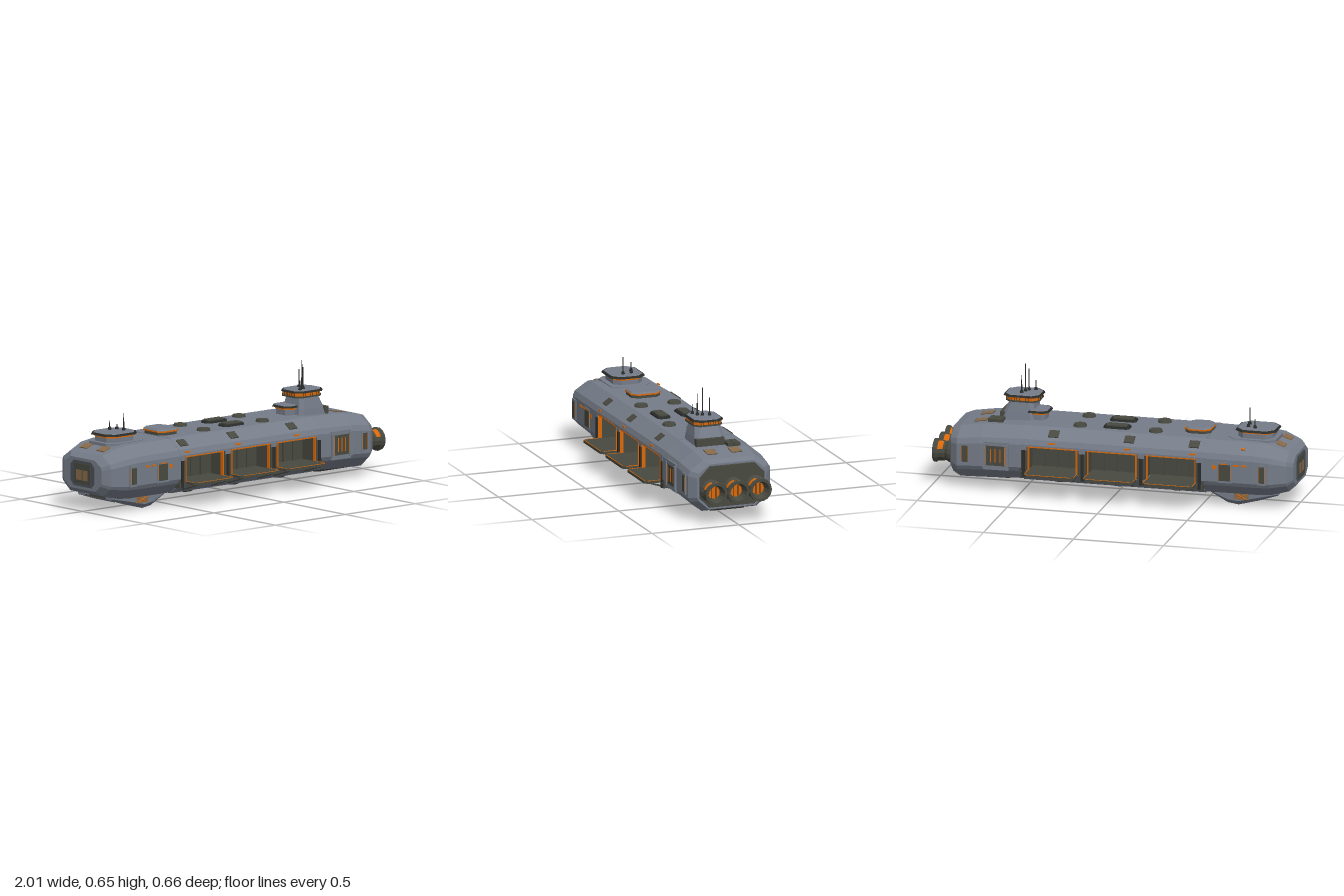
import * as THREE from 'three';

const mat = (name, color, side = THREE.FrontSide) => {
  const m = new THREE.MeshStandardMaterial({ color, flatShading: true, side });
  m.name = name;
  return m;
};

export function createModel() {
  const root = new THREE.Group();
  root.name = 'transportShip';
  const hull = mat('hullGrey', 0x757c88), steel = mat('darkSteel', 0x4c5057), olive = mat('oliveMetal', 0x484940);
  const black = mat('blackMetal', 0x2b2d2b), orange = mat('orange', 0xd9690a), tan = mat('tan', 0x876a49);
  const bell = mat('engineMetal', 0x484940, THREE.DoubleSide);

  const add = (name, geo, m) => {
    const mesh = new THREE.Mesh(geo, m);
    mesh.name = name;
    root.add(mesh);
    return mesh;
  };
  const box = (name, m, x0, x1, y0, y1, z0, z1) => {
    const b = add(name, new THREE.BoxGeometry(x1 - x0, y1 - y0, z1 - z0), m);
    b.position.set((x0 + x1) / 2, (y0 + y1) / 2, (z0 + z1) / 2);
    return b;
  };
  // the same box on both flanks, z measured outward
  const flank = (name, m, x0, x1, y0, y1, z0, z1) => {
    box(name, m, x0, x1, y0, y1, z0, z1);
    box(name, m, x0, x1, y0, y1, -z1, -z0);
  };
  // skin over convex rings [position, points] along the x or y axis, with end caps
  const loft = (name, m, rings, axis = 'x') => {
    const v = [];
    const put = ([a, pts], i) => {
      const [p, q] = pts[i % pts.length];
      v.push(...(axis === 'x' ? [a, q, p] : [p, a, q]));
    };
    const n = rings[0][1].length, last = rings[rings.length - 1];
    for (let k = 0; k < rings.length - 1; k++) {
      const A = rings[k], B = rings[k + 1];
      for (let i = 0; i < n; i++) {
        put(A, i); put(A, i + 1); put(B, i + 1);
        put(A, i); put(B, i + 1); put(B, i);
      }
    }
    for (let i = 1; i < n - 1; i++) {
      put(last, 0); put(last, i); put(last, i + 1);
      put(rings[0], 0); put(rings[0], i + 1); put(rings[0], i);
    }
    const g = new THREE.BufferGeometry();
    g.setAttribute('position', new THREE.Float32BufferAttribute(v, 3));
    g.computeVertexNormals();
    return add(name, g, m);
  };
  const oct = (p0, p1, q0, q1, c) => [[p1 - c, q1], [p1, q1 - c], [p1, q0 + c], [p1 - c, q0],
    [p0 + c, q0], [p0, q0 + c], [p0, q1 - c], [p0 + c, q1]];
  const mirror = half => [...half, ...half.map(([z, y]) => [-z, y]).reverse()];
  const deck = (name, m, y0, y1, x0, x1, z0, z1, c, inset = 0) => loft(name, m, [
    [y0, oct(x0, x1, z0, z1, c)],
    [y1, oct(x0 + inset, x1 - inset, z0 + inset, z1 - inset, c)]], 'y');
  // black-rimmed roof slab with a hull-coloured top
  const roof = (name, y0, y1, x0, x1, z0, z1, c) => {
    deck(name + 'Rim', black, y0, y1 - 0.003, x0, x1, z0, z1, c, 0.005);
    deck(name, hull, y1 - 0.003, y1, x0 + 0.009, x1 - 0.009, z0 + 0.009, z1 - 0.009, c, 0.003);
  };
  const rod = (name, m, a, b, r0, r1 = r0, sides = 6) => {
    const A = new THREE.Vector3(...a), B = new THREE.Vector3(...b), d = B.clone().sub(A);
    const r = add(name, new THREE.CylinderGeometry(r1, r0, d.length(), sides), m);
    r.position.copy(A).add(B).multiplyScalar(0.5);
    r.quaternion.setFromUnitVectors(new THREE.Vector3(0, 1, 0), d.normalize());
  };

  // bow and stern hull
  const section = (x, top, bot, w) => {
    const t = top - bot;
    return [x, mirror([[w * 0.63, top], [w * 0.95, top - t * 0.185], [w, top - t * 0.29],
      [w, bot + t * 0.28], [w * 0.95, bot + t * 0.2], [w * 0.67, bot]])];
  };
  loft('bowHull', hull, [section(-1, 0.29, 0.12, 0.155), section(-0.97, 0.315, 0.095, 0.2),
    section(-0.88, 0.348, 0.075, 0.235), section(-0.8, 0.358, 0.07, 0.24), section(-0.51, 0.362, 0.07, 0.245)]);
  loft('sternHull', hull, [section(0.49, 0.362, 0.07, 0.245), section(0.72, 0.355, 0.06, 0.245),
    section(0.85, 0.336, 0.055, 0.236), section(0.895, 0.322, 0.072, 0.2)]);
  loft('sternPlate', olive, [[0.89, oct(-0.19, 0.19, 0.08, 0.314, 0.06)], [0.9, oct(-0.185, 0.185, 0.083, 0.31, 0.058)]]);

  // middle hull: roof, floor and inner core leave the bays open
  const span = (name, m, half) => loft(name, m, [[-0.515, mirror(half)], [0.495, mirror(half)]]);
  span('midRoof', hull, [[0.154, 0.364], [0.233, 0.309], [0.245, 0.28], [0.245, 0.268]]);
  span('midFloor', hull, [[0.245, 0.13], [0.235, 0.115], [0.163, 0.067]]);
  box('bellyPlate', steel, -0.515, 0.495, 0.064, 0.07, -0.163, 0.163);
  box('bayCore', olive, -0.51, 0.49, 0.12, 0.275, -0.13, 0.13);
  for (const x of [-0.5, -0.175, 0.152, 0.478]) {
    flank('bayPillar', olive, x - 0.022, x + 0.022, 0.125, 0.272, 0.1, 0.242);
    flank('pillarTrim', black, x - 0.008, x + 0.008, 0.1, 0.25, 0.235, 0.248);
    flank('pillarCap', hull, x - 0.018, x + 0.018, 0.25, 0.272, 0.235, 0.247);
    flank('pillarFoot', olive, x - 0.02, x + 0.02, 0.1, 0.13, 0.2, 0.243);
  }

  // cargo bays with fold-out platforms
  for (const c of [-0.342, -0.012, 0.317]) {
    const a = c - 0.137, b = c + 0.137;
    flank('bayFrameTop', orange, a, b, 0.266, 0.272, 0.225, 0.247);
    for (const x of [a + 0.001, b - 0.006])
      flank('bayFrameSide', orange, x, x + 0.005, 0.137, 0.268, 0.225, 0.246);
    flank('bayFloor', olive, a, b, 0.125, 0.135, 0.12, 0.25);
    for (const x of [c - 0.07, c, c + 0.07]) flank('bayRib', olive, x - 0.005, x + 0.005, 0.135, 0.268, 0.13, 0.14);
    for (const s of [1, -1]) {
      const z0 = s > 0 ? 0.24 : -0.332, z1 = z0 + 0.092;
      deck('platform', olive, 0.122, 0.136, a - 0.002, b + 0.002, z0, z1, 0.015);
      box('platformEdge', orange, a + 0.012, b - 0.012, 0.134, 0.138, s * 0.3295 - 0.002, s * 0.3295 + 0.002);
      for (const x of [a, b])
        box('platformSideEdge', orange, x - 0.002, x + 0.002, 0.134, 0.138, s * 0.28 - 0.036, s * 0.28 + 0.036);
      for (const x of [a + 0.03, b - 0.03])
        rod('platformStrut', olive, [x, 0.122, s * 0.31], [x, 0.08, s * 0.18], 0.005);
    }
    // keel fittings below each bay
    for (const z of [-0.09, 0.09])
      deck('bellyHatch', olive, 0.047, 0.067, c - 0.03, c + 0.03, z - 0.025, z + 0.025, 0.015, -0.025);
  }

  // shoulder plates and marker lights
  for (const s of [1, -1]) for (const x of [-0.46, -0.1, 0.32]) {
    const p = box('shoulderPlate', olive, x - 0.028, x + 0.028, 0.331, 0.341, s * 0.194 - 0.024, s * 0.194 + 0.024);
    p.rotation.x = s * 0.608;
    box('markerLight', orange, x - 0.018, x + 0.018, 0.289, 0.298, s * 0.238 - 0.005, s * 0.238 + 0.005);
  }
  box('shoulderMark', orange, -0.74, -0.722, 0.327, 0.335, -0.206, -0.194).rotation.x = -0.6;

  // chin pods under the bow
  for (const s of [1, -1]) {
    const pod = (x, y, w, c) => [x, oct(s * 0.112 - w, s * 0.112 + w, y, 0.1, c)];
    loft('chinPod', hull, [pod(-0.91, 0.066, 0.03, 0.008), pod(-0.8, 0.03, 0.04, 0.02),
      pod(-0.69, 0, 0.042, 0.024), pod(-0.63, 0.008, 0.042, 0.024), pod(-0.53, 0.066, 0.035, 0.008)]);
    box('chinPanel', tan, -0.75, -0.67, 0.035, 0.068, s * 0.153 - 0.003, s * 0.153 + 0.003);
    for (const d of [-1, 1])
      rod('chinBrace', orange, [-0.71 - d * 0.03, 0.038, s * 0.157], [-0.71 + d * 0.03, 0.066, s * 0.157], 0.0025);
  }
  loft('chinCentre', olive, [[-0.88, oct(-0.08, 0.08, 0.06, 0.1, 0.005)],
    [-0.7, oct(-0.09, 0.09, 0.02, 0.1, 0.015)], [-0.62, oct(-0.09, 0.09, 0.022, 0.1, 0.015)],
    [-0.55, oct(-0.08, 0.08, 0.062, 0.1, 0.005)]]);
  loft('sternKeel', olive, [[0.5, oct(-0.1, 0.1, 0.06, 0.1, 0.01)], [0.6, oct(-0.11, 0.11, 0.042, 0.1, 0.015)],
    [0.82, oct(-0.11, 0.11, 0.042, 0.1, 0.015)], [0.87, oct(-0.09, 0.09, 0.062, 0.1, 0.01)]]);
  deck('keelHatch', black, 0.037, 0.044, 0.63, 0.79, -0.07, 0.07, 0.015);

  // bow face door
  loft('bowDoorFrame', steel, [[-1.002, oct(-0.095, 0.095, 0.135, 0.275, 0.025)], [-0.995, oct(-0.095, 0.095, 0.135, 0.275, 0.025)]]);
  box('bowDoor', olive, -1.004, -1, 0.15, 0.26, -0.065, 0.065);
  for (const z of [-0.025, 0.025]) box('bowDoorPanel', tan, -1.006, -1.003, 0.17, 0.225, z - 0.02, z + 0.02);

  // flank doors, louvres and marks
  for (const [x0, x1, z] of [[-0.87, -0.82, 0.247], [-0.68, -0.6, 0.249], [0.78, 0.83, 0.247]]) {
    flank('doorFrame', hull, x0, x1, 0.148, 0.262, 0.2, z - 0.003);
    flank('door', olive, x0 + 0.009, x1 - 0.009, 0.16, 0.25, 0.2, z);
    for (const x of [x0 + 0.007, x1 - 0.007])
      flank('doorJamb', orange, x - 0.0015, x + 0.0015, 0.165, 0.245, 0.23, z - 0.002);
  }
  flank('doorLight', orange, -0.655, -0.615, 0.25, 0.256, 0.24, 0.248);
  flank('louvreHousing', hull, 0.56, 0.7, 0.128, 0.283, 0.2, 0.25);
  flank('louvrePanel', olive, 0.578, 0.686, 0.152, 0.261, 0.2, 0.252);
  for (const x of [0.567, 0.695]) flank('louvrePost', hull, x - 0.008, x + 0.008, 0.14, 0.272, 0.2, 0.257);
  for (const x of [0.58, 0.684]) flank('louvreEdge', orange, x - 0.002, x + 0.002, 0.155, 0.258, 0.245, 0.253);
  for (let i = 0; i < 3; i++)
    flank('louvreSlit', orange, 0.6035 + i * 0.026, 0.6085 + i * 0.026, 0.17, 0.245, 0.245, 0.2535);
  for (const x of [-0.745, -0.7]) flank('bowMark', orange, x - 0.014, x + 0.014, 0.244, 0.253, 0.236, 0.246);
  flank('crewMark', orange, -0.594, -0.572, 0.222, 0.243, 0.24, 0.2465);

  // roof fittings
  for (const z of [-0.095, 0.095]) for (const x of [-0.22, 0.2])
    rod('roofVent', olive, [x, 0.355, z], [x, 0.377, z], 0.041, 0.034, 12);
  for (const z of [-0.07, 0.07]) {
    deck('roofHatchRim', black, 0.36, 0.375, -0.075, 0.075, z - 0.04, z + 0.04, 0.015, 0.005);
    deck('roofHatch', olive, 0.374, 0.381, -0.058, 0.058, z - 0.027, z + 0.027, 0.008);
    box('bowDeckPanel', tan, -0.937, -0.887, 0.336, 0.342, z - 0.029, z + 0.029).rotation.z = 0.36;
    box('sternDeckBase', olive, 0.72, 0.79, 0.343, 0.352, z - 0.03, z + 0.03).rotation.z = -0.145;
    box('sternDeckPanel', tan, 0.723, 0.787, 0.351, 0.353, z - 0.028, z + 0.028).rotation.z = -0.145;
  }
  deck('loadingHatchBase', olive, 0.355, 0.38, -0.512, -0.373, -0.082, 0.082, 0.03);
  deck('loadingHatchBand', orange, 0.38, 0.388, -0.517, -0.368, -0.087, 0.087, 0.03);
  deck('loadingHatchTop', hull, 0.388, 0.396, -0.515, -0.37, -0.085, 0.085, 0.03, 0.006);
  for (const z of [-0.067, -0.104]) box('sternLocker', olive, 0.625, 0.705, 0.345, 0.374, z - 0.0165, z + 0.0165);

  // forward deckhouse
  deck('foredeck', hull, 0.345, 0.363, -0.885, -0.62, -0.12, 0.1, 0.04);
  deck('deckhouse', hull, 0.355, 0.388, -0.86, -0.67, -0.095, 0.07, 0.035);
  deck('deckhouseWindows', orange, 0.388, 0.398, -0.865, -0.665, -0.09, 0.073, 0.035);
  roof('deckhouseRoof', 0.398, 0.412, -0.88, -0.655, -0.108, 0.088, 0.04);

  // bridge tower
  const t = (y, x0, x1, z0, z1) => [y, oct(x0, x1, z0, z1, 0.02)];
  loft('tower', hull, [t(0.35, 0.46, 0.655, -0.065, 0.115), t(0.397, 0.467, 0.64, -0.057, 0.11),
    t(0.463, 0.48, 0.61, -0.045, 0.098)], 'y');
  box('towerAftPlate', olive, 0.63, 0.66, 0.345, 0.397, -0.048, 0.113);
  deck('balconyBase', hull, 0.355, 0.395, 0.41, 0.5, -0.05, 0.06, 0.02);
  deck('balconyWindows', orange, 0.395, 0.405, 0.4, 0.5, -0.055, 0.068, 0.025);
  roof('balconyRoof', 0.405, 0.418, 0.39, 0.52, -0.065, 0.078, 0.025);
  deck('bridgeFloor', olive, 0.458, 0.467, 0.448, 0.632, -0.055, 0.109, 0.028);
  deck('bridgeWindows', orange, 0.467, 0.485, 0.45, 0.63, -0.053, 0.107, 0.03);
  roof('bridgeRoof', 0.485, 0.498, 0.44, 0.645, -0.06, 0.115, 0.035);
  for (let i = 0; i < 8; i++) {
    const x = 0.485 + i * 0.0157, z = -0.022 + i * 0.014;
    box('windowMullion', black, x - 0.001, x + 0.001, 0.467, 0.485, -0.054, 0.108);
    box('windowMullion', black, 0.449, 0.631, 0.467, 0.485, z - 0.001, z + 0.001);
  }

  // antennas
  for (const [x, z, y0, y1] of [[0.49, 0.073, 0.495, 0.55], [0.525, 0.058, 0.495, 0.617], [0.538, 0.033, 0.495, 0.65],
    [0.55, -0.003, 0.495, 0.595], [-0.76, -0.053, 0.41, 0.46], [-0.715, 0.01, 0.41, 0.505], [-0.72, -0.04, 0.41, 0.44]]) {
    rod('antennaBase', black, [x, y0, z], [x, y0 + 0.015, z], 0.011, 0.008, 8);
    rod('antenna', black, [x, y0, z], [x, y1, z], 0.004, 0.002);
  }

  // engines with coloured patches on the upper bell
  for (const z of [-0.127, 0, 0.127]) {
    const profile = [[0.062, 0], [0.062, 0.015], [0.05, 0.035], [0.054, 0.042], [0.056, 0.075], [0.065, 0.085],
      [0.063, 0.1], [0.048, 0.1], [0.034, 0.05]].map(p => new THREE.Vector2(...p));
    const place = (mesh, x) => {
      mesh.rotation.z = -Math.PI / 2;
      mesh.position.set(x, 0.18, z);
    };
    place(add('engineNozzle', new THREE.LatheGeometry(profile, 14), bell), 0.9);
    for (const angle of [230, 310])
      place(add('enginePatch', new THREE.CylinderGeometry(0.0585, 0.0575, 0.03, 4, 1, true,
        (angle - 28) * Math.PI / 180, 56 * Math.PI / 180), orange), 0.958);
    rod('engineGlow', orange, [0.948, 0.18, z], [0.953, 0.18, z], 0.0345, 0.0345, 14);
    for (const d of [-0.012, 0.012])
      box('engineSlat', black, 0.951, 0.956, 0.15, 0.21, z + d - 0.0015, z + d + 0.0015);
  }
  return root;
}
